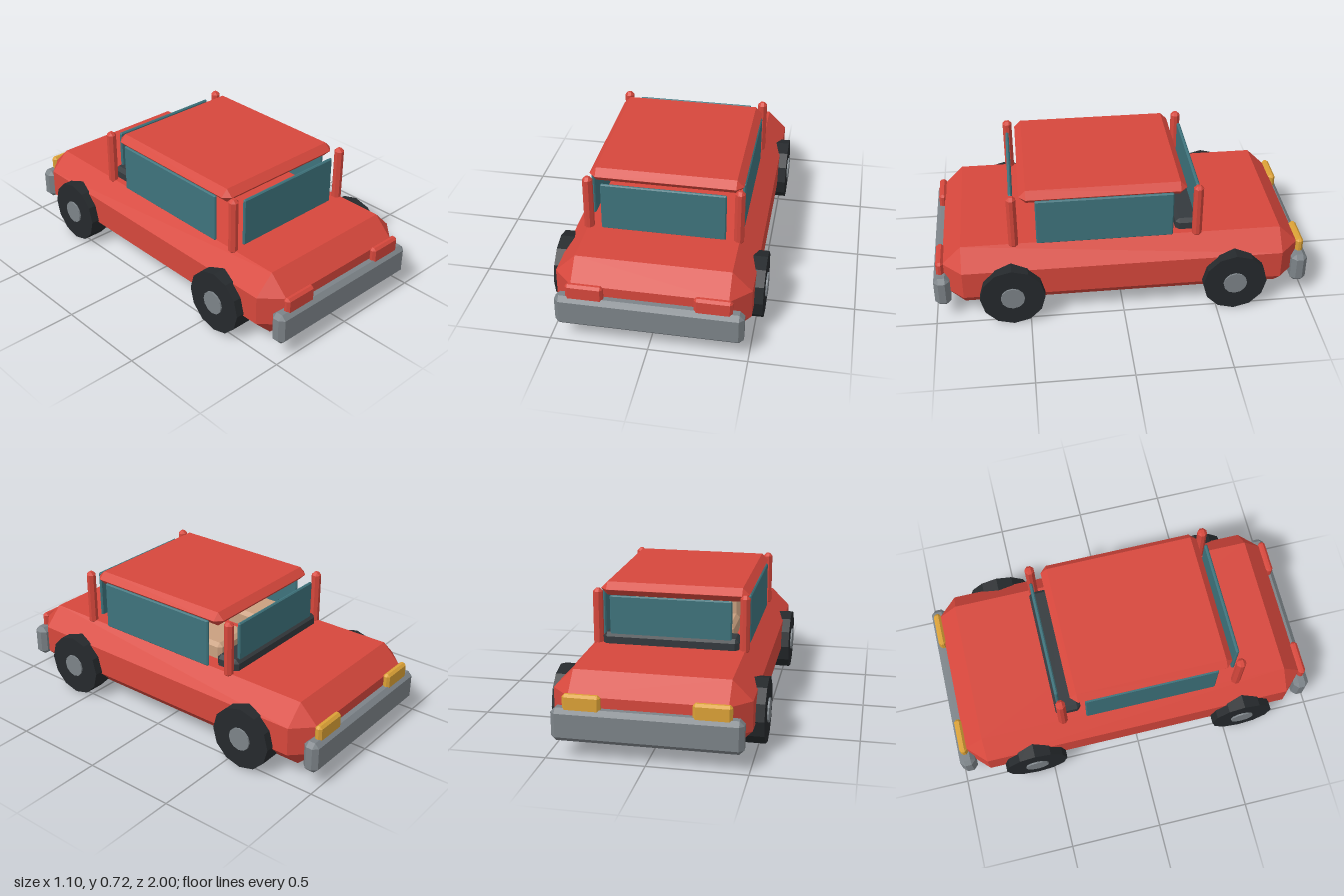
import * as THREE from 'three';
import { ConvexGeometry } from 'three/addons/geometries/ConvexGeometry.js';

const mat = (color) => new THREE.MeshStandardMaterial({ color, flatShading: true });

// Box with every edge cut at 45 degrees by c
function chamferBox(w, h, d, c) {
  const points = [];
  const [x, y, z] = [w / 2, h / 2, d / 2];
  for (const sx of [-1, 1]) for (const sy of [-1, 1]) for (const sz of [-1, 1]) {
    points.push(
      new THREE.Vector3(sx * x, sy * (y - c), sz * (z - c)),
      new THREE.Vector3(sx * (x - c), sy * y, sz * (z - c)),
      new THREE.Vector3(sx * (x - c), sy * (y - c), sz * z));
  }
  return new ConvexGeometry(points);
}

export function createModel() {
  const car = new THREE.Group();
  car.name = 'car';
  const red = mat(0xd6473c), glass = mat(0x3e737c), steel = mat(0x7c8388);
  const rubber = mat(0x25292c), amber = mat(0xdba136), tan = mat(0xc9a080), dark = mat(0x34393d);

  function add(name, geometry, material, x, y, z) {
    const mesh = new THREE.Mesh(geometry, material);
    mesh.name = name;
    mesh.position.set(x, y, z);
    car.add(mesh);
    return mesh;
  }
  // Chamfered block given by its extents
  const block = (name, material, [x0, x1], [y0, y1], [z0, z1], c) =>
    add(name, chamferBox(x1 - x0, y1 - y0, z1 - z0, c), material, (x0 + x1) / 2, (y0 + y1) / 2, (z0 + z1) / 2);

  // Body and roof
  block('body', red, [-0.495, 0.495], [0.057, 0.415], [-0.948, 0.948], 0.102);
  block('roof', red, [-0.397, 0.397], [0.645, 0.718], [-0.342, 0.53], 0.036);

  // Bumpers, with lamps resting on them: amber headlights at -z, red tail lights at +z
  for (const s of [-1, 1]) {
    add(s < 0 ? 'headBumper' : 'tailBumper', chamferBox(0.946, 0.17, 0.084, 0.024), steel, 0, 0.175, s * 0.958);
    for (const side of [-1, 1]) {
      add(s < 0 ? 'headlight' : 'tailLight', chamferBox(0.19, 0.11, 0.04, 0.013),
        s < 0 ? amber : red, side * 0.32, 0.275, s * 0.963);
    }
  }

  // Windows
  block('windshield', glass, [-0.322, 0.322], [0.41, 0.672], [-0.415, -0.397], 0.006);
  block('rearWindow', glass, [-0.322, 0.322], [0.41, 0.672], [0.564, 0.582], 0.006);

  for (const side of [-1, 1]) {
    add('sideWindow', chamferBox(0.018, 0.262, 0.72, 0.006), glass, side * 0.393, 0.541, 0.09);

    // Corner posts
    for (const z of [-0.398, 0.57]) {
      add('pillar', chamferBox(0.05, 0.31, 0.05, 0.016), red, side * 0.388, 0.55, z);
    }

    // Wheels
    for (const z of [-0.59, 0.59]) {
      add('tire', new THREE.CylinderGeometry(0.171, 0.171, 0.113, 12), rubber, side * 0.4835, 0.172, z)
        .rotation.z = Math.PI / 2;
      add('hub', new THREE.CylinderGeometry(0.063, 0.063, 0.1, 12), steel, side * 0.499, 0.172, z)
        .rotation.z = Math.PI / 2;
    }

    // Seats
    add('seatCushion', chamferBox(0.24, 0.12, 0.26, 0.02), tan, side * 0.19, 0.44, -0.15);
    add('seatBack', chamferBox(0.24, 0.23, 0.07, 0.02), tan, side * 0.19, 0.51, 0.0);
  }

  // Dashboard and steering wheel
  block('dashboard', dark, [-0.36, 0.36], [0.37, 0.473], [-0.428, -0.29], 0.02);
  add('steeringWheel', new THREE.TorusGeometry(0.07, 0.01, 6, 12), rubber, -0.19, 0.5, -0.295);

  return car;
}
